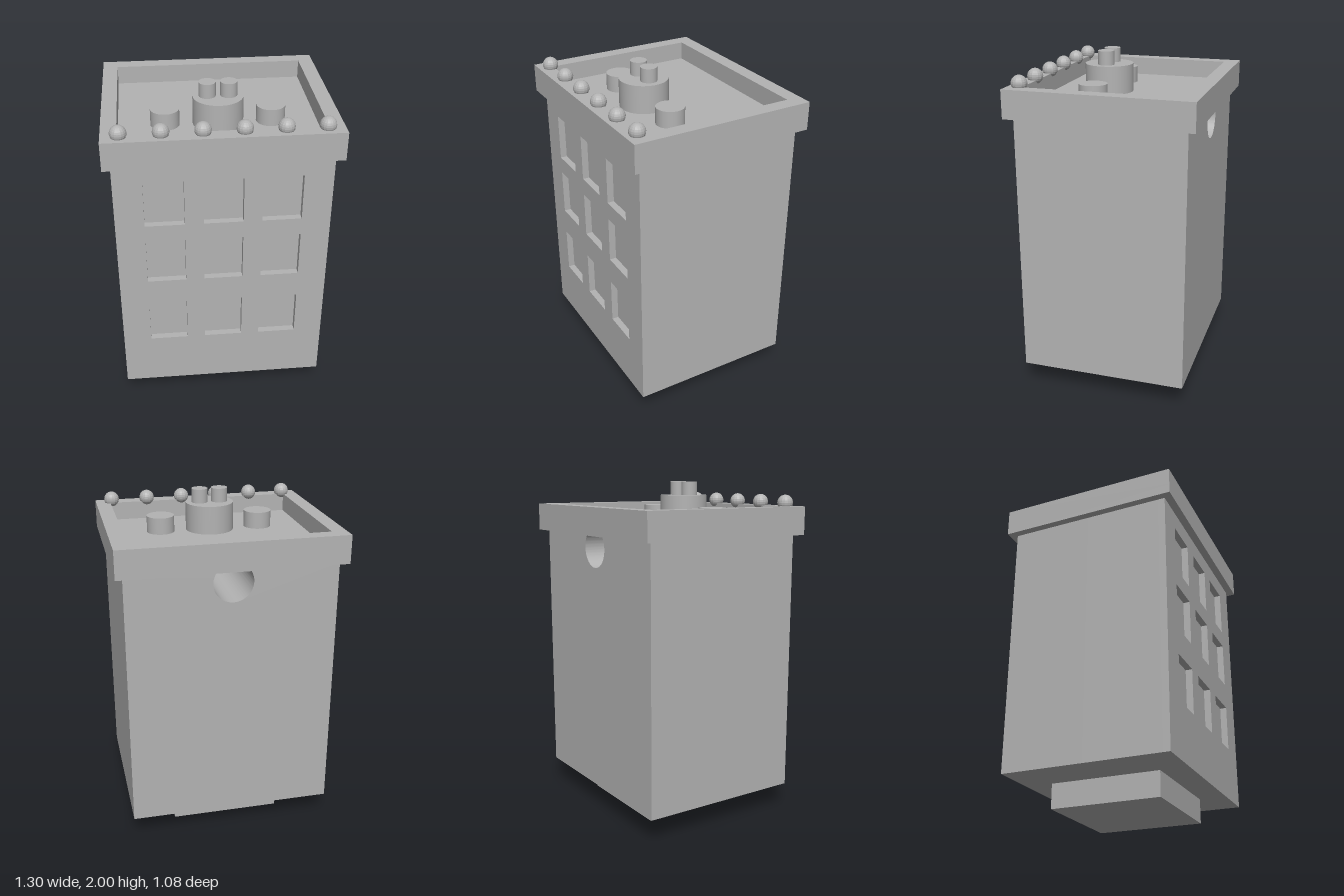
import * as THREE from 'three';
import { toCreasedNormals } from 'three/addons/utils/BufferGeometryUtils.js';

export function createModel() {
  const model = new THREE.Group();
  model.name = 'towerBlock';
  const stone = new THREE.MeshStandardMaterial({ color: 0xb3b3b3 });
  stone.name = 'stoneGrey';
  const bulbMaterial = stone.clone();
  bulbMaterial.name = 'bulbGrey';
  bulbMaterial.flatShading = true;

  const add = (name, geometry, x = 0, y = 0, z = 0, material = stone) => {
    const mesh = new THREE.Mesh(geometry, material);
    mesh.name = name;
    mesh.position.set(x, y, z);
    model.add(mesh);
    return mesh;
  };
  const rectangle = (x0, y0, x1, y1, Type = THREE.Shape) => new Type([
    [x0, y0], [x1, y0], [x1, y1], [x0, y1],
  ].map(([x, y]) => new THREE.Vector2(x, y)));
  const extrude = (shape, depth) => toCreasedNormals(
    new THREE.ExtrudeGeometry(shape, { depth, bevelEnabled: false, curveSegments: 40 }), 0.5);

  const halfW = 0.607, halfD = 0.495, bottom = 0.147, top = 1.695;
  const floorY = 1.752, rimY = 1.86, windowDepth = 0.04;

  // Square foot
  add('foot', new THREE.BoxGeometry(0.66, bottom, 0.66), 0, bottom / 2, 0);

  // Front wall with a 3 x 3 grid of window recesses
  const front = rectangle(-halfW, bottom, halfW, top);
  for (const x of [-0.331, -0.001, 0.329]) {
    for (const y of [0.618, 1.06, 1.446]) {
      front.holes.push(rectangle(x - 0.112, y - 0.14, x + 0.112, y + 0.14, THREE.Path));
    }
  }
  add('windowWall', extrude(front, windowDepth), 0, 0, halfD - windowDepth);

  // Solid core behind the windows
  const coreDepth = halfD - windowDepth;
  add('core', new THREE.BoxGeometry(halfW * 2, top - bottom, coreDepth), 0, (top + bottom) / 2, coreDepth / 2);

  // Rear half with a round bore that runs into the cornice
  const holeR = 0.115, holeY = 1.62;
  const angle = Math.asin((top - holeY) / holeR);
  const back = new THREE.Shape();
  back.moveTo(-halfW, bottom);
  back.lineTo(halfW, bottom);
  back.lineTo(halfW, top);
  back.lineTo(holeR * Math.cos(angle), top);
  back.absarc(0, holeY, holeR, angle, -Math.PI - angle, true);
  back.lineTo(-halfW, top);
  back.closePath();
  add('rearWall', extrude(back, halfD), 0, 0, -halfD);

  // Cornice slab and raised parapet
  const capW = 0.65, capD = 0.542;
  add('roofSlab', new THREE.BoxGeometry(capW * 2, floorY - top, capD * 2), 0, (floorY + top) / 2, 0);
  const rim = rectangle(-capW, -capD, capW, capD);
  rim.holes.push(rectangle(-0.563, -0.455, 0.563, 0.455, THREE.Path));
  add('parapet', extrude(rim, rimY - floorY).rotateX(-Math.PI / 2), 0, floorY, 0);

  // Rooftop drums and chimney pipes
  const drum = (name, radius, y0, y1, x) => add(name,
    new THREE.CylinderGeometry(radius, radius, y1 - y0, 48), x, (y0 + y1) / 2, 0.135);
  drum('roofDrum', 0.143, floorY, 1.918, 0);
  for (const side of [-1, 1]) {
    drum('smallDrum', 0.082, floorY, 1.85, side * 0.299);
    drum('chimneyPipe', 0.048, 1.918, 2, side * 0.06);
  }

  // Row of bulbs along the front parapet
  for (let i = 0; i < 6; i++) {
    add('bulb', new THREE.SphereGeometry(0.046, 16, 12), -0.553 + i * 0.2212, 1.88, 0.474, bulbMaterial);
  }
  return model;
}
